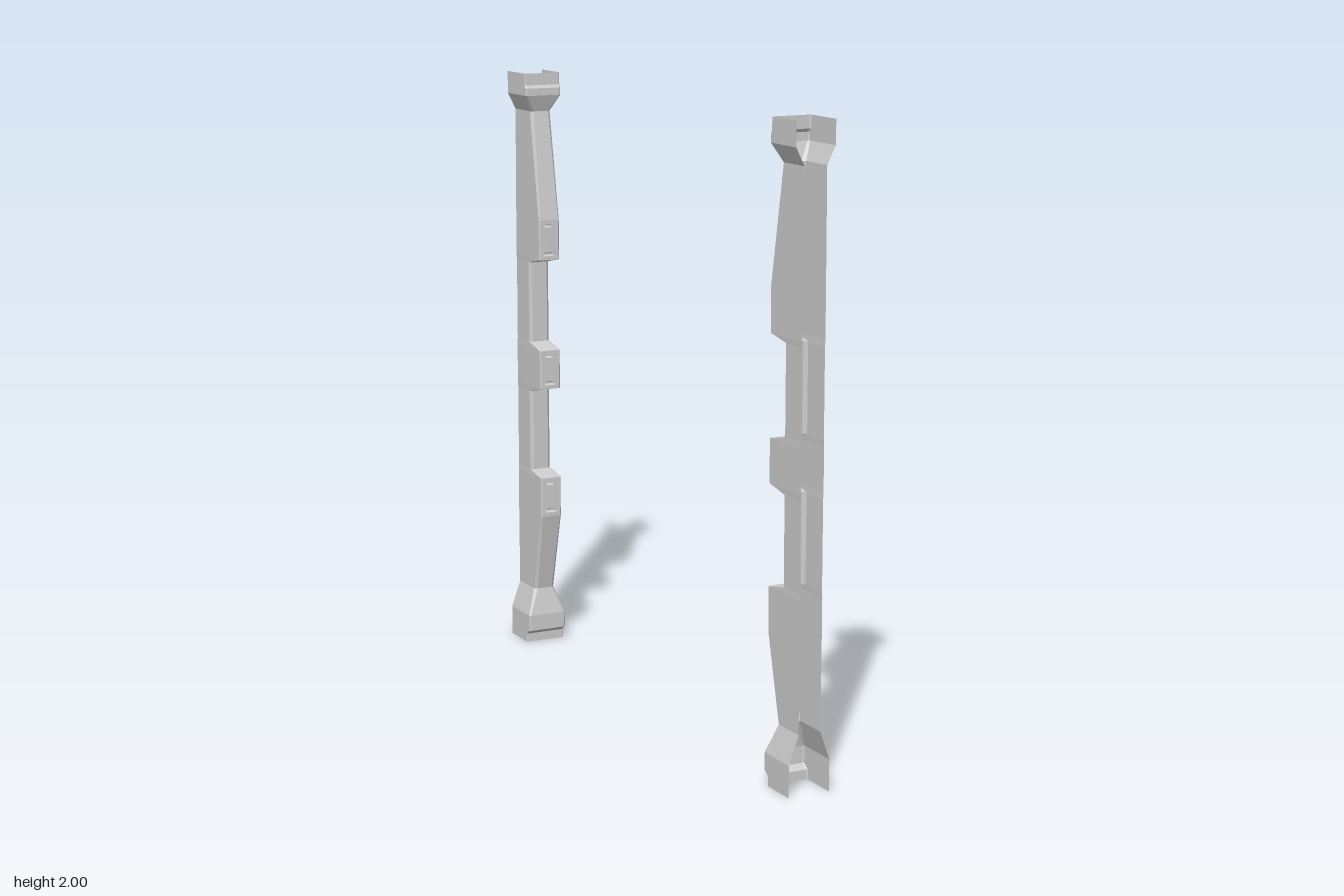
import * as THREE from 'three';

const BACK = -0.988; // open rear edge of the channel
const material = new THREE.MeshStandardMaterial({ color: 0xcccccc, flatShading: true, side: THREE.DoubleSide });

// Channel stations from bottom to top: height, half width, face z, corner chamfer
const stations = [
  [0, 0.069, -0.86, 0.004], [0.03, 0.069, -0.86, 0.004], [0.045, 0.069, -0.838, 0.005],
  [0.1, 0.069, -0.838, 0.005], [0.19, 0.037, -0.86, 0.01],
  [0.463, 0.038, -0.799, 0.005], [0.6, 0.038, -0.799, 0.005],
  [0.617, 0.037, -0.882, 0.01], [0.897, 0.037, -0.882, 0.01],
  [0.915, 0.038, -0.799, 0.005], [1.05, 0.038, -0.799, 0.005],
  [1.07, 0.037, -0.882, 0.01], [1.348, 0.037, -0.882, 0.01],
  [1.365, 0.038, -0.799, 0.005], [1.503, 0.038, -0.799, 0.005],
  [1.87, 0.037, -0.86, 0.01], [1.925, 0.065, -0.838, 0.005],
  [1.95, 0.065, -0.838, 0.005], [1.96, 0.065, -0.846, 0.004], [2, 0.065, -0.846, 0.004],
];
const bosses = [5, 9, 13]; // stations where a socket face begins

function quad(out, a, b, c, d) {
  out.push(...a, ...b, ...c, ...a, ...c, ...d);
}

function toMesh(out, name) {
  const geometry = new THREE.BufferGeometry();
  geometry.setAttribute('position', new THREE.Float32BufferAttribute(out, 3));
  geometry.computeVertexNormals();
  const mesh = new THREE.Mesh(geometry, material);
  mesh.name = name;
  return mesh;
}

// Open-backed shell with chamfered front corners
function channel() {
  const out = [];
  const rows = stations.map(([y, w, z, c]) => [
    [-w, y, BACK], [-w, y, z - c], [-w + c, y, z], [w - c, y, z], [w, y, z - c], [w, y, BACK],
  ]);
  for (let i = 0; i < rows.length - 1; i++) {
    for (let j = 0; j < 5; j++) {
      if (j === 2 && bosses.includes(i)) continue;
      quad(out, rows[i][j], rows[i][j + 1], rows[i + 1][j + 1], rows[i + 1][j]);
    }
  }
  return toMesh(out, 'channel');
}

// Boss face with a recessed slot and a raised bar, as nested rectangles
function socket(i) {
  const [y0, w, z, c] = stations[i];
  const y1 = stations[i + 1][0];
  const rect = (x, inset, depth) => [
    [-x, y0 + inset, z - depth], [x, y0 + inset, z - depth],
    [x, y1 - inset, z - depth], [-x, y1 - inset, z - depth],
  ];
  const rings = [
    rect(w - c, 0, 0), rect(0.022, 0.014, 0), rect(0.019, 0.017, 0.016),
    rect(0.014, 0.022, 0.016), rect(0.011, 0.026, 0.006),
  ];
  const out = [];
  for (let r = 0; r < rings.length - 1; r++) {
    for (let k = 0; k < 4; k++) {
      const n = (k + 1) % 4;
      quad(out, rings[r][k], rings[r][n], rings[r + 1][n], rings[r + 1][k]);
    }
  }
  quad(out, ...rings[rings.length - 1]);
  return toMesh(out, 'socket');
}

function post(name) {
  const group = new THREE.Group();
  group.name = name;
  group.add(channel(), ...bosses.map(socket));
  return group;
}

export function createModel() {
  const model = new THREE.Group();
  model.name = 'facingPosts';
  const rear = post('rearPost');
  const front = post('frontPost');
  front.rotation.y = Math.PI; // the two posts face each other
  model.add(rear, front);
  return model;
}
